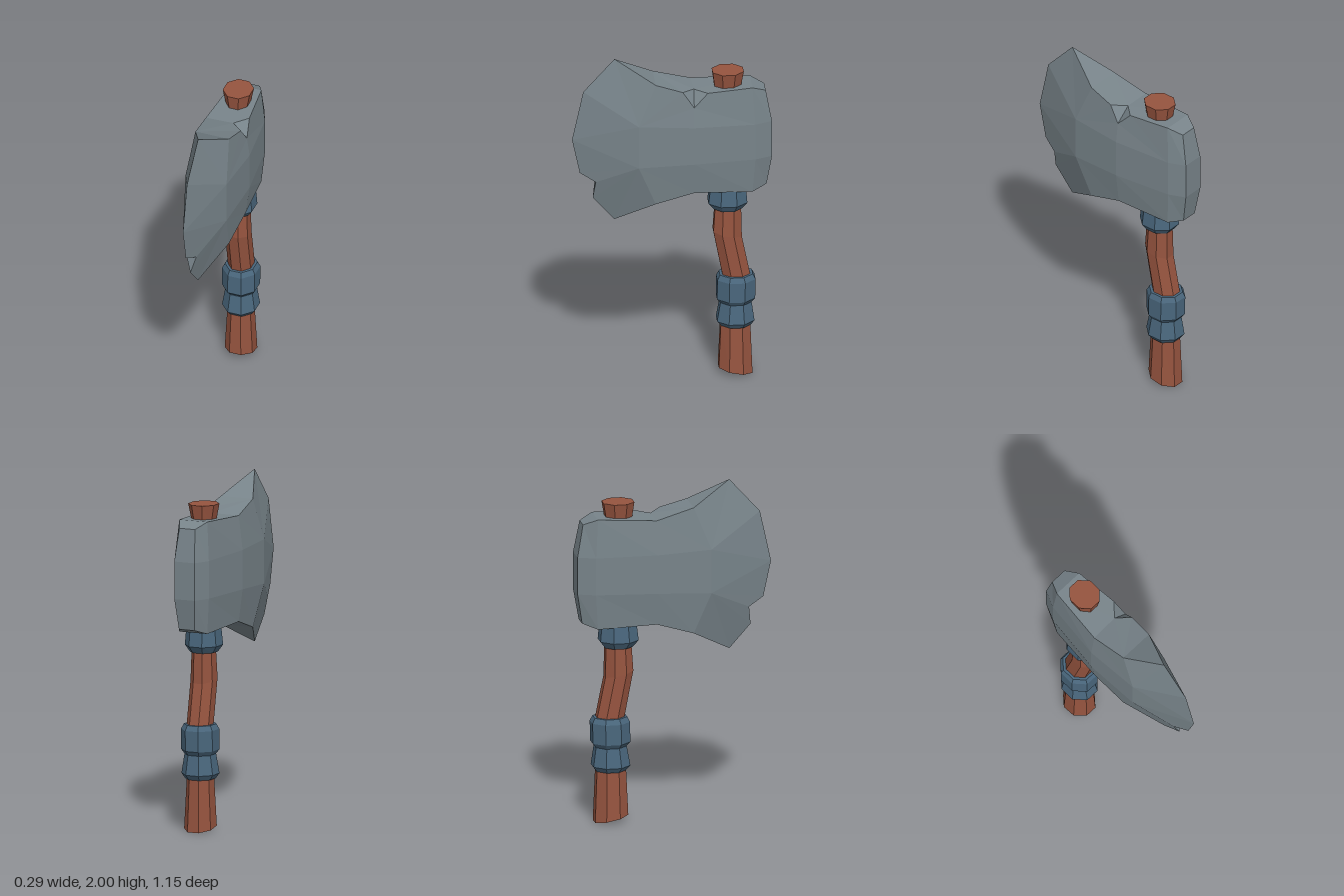
import * as THREE from 'three';

// Turns convex polygons (corners counter-clockwise from outside) into a mesh
function polyMesh(name, polys, material) {
  const pos = [];
  for (const p of polys)
    for (let i = 1; i < p.length - 1; i++) pos.push(...p[0], ...p[i], ...p[i + 1]);
  const geo = new THREE.BufferGeometry();
  geo.setAttribute('position', new THREE.Float32BufferAttribute(pos, 3));
  geo.computeVertexNormals();
  const mesh = new THREE.Mesh(geo, material);
  mesh.name = name;
  return mesh;
}

// Eight-sided column from rings, bottom to top: [y, z, halfX, halfZ, tilt]
function octColumn(name, rings, material) {
  const k = 1 / Math.cos(Math.PI / 8);
  const pts = rings.map(([y, z, hx, hz, tilt = 0]) =>
    Array.from({ length: 8 }, (_, i) => {
      const a = (i + 0.5) * Math.PI / 4;
      const dz = hz * k * Math.sin(a);
      return [hx * k * Math.cos(a), y + dz * tilt, z + dz];
    }));
  const polys = [pts[0], [...pts[pts.length - 1]].reverse()];
  for (let j = 0; j < pts.length - 1; j++)
    for (let i = 0; i < 8; i++) {
      const n = (i + 1) % 8;
      polys.push([pts[j][i], pts[j + 1][i], pts[j + 1][n], pts[j][n]]);
    }
  return polyMesh(name, polys, material);
}

const mirror = ([x, y, z]) => [-x, y, z];

function axeHead(material) {
  // Columns of the left cheek from the poll towards the blade, each bottom to top
  const cols = [
    [[0.05, 1.2, -0.545], [0.065, 1.38, -0.575], [0.065, 1.6, -0.575], [0.05, 1.79, -0.54]],
    [[0.09, 1.17, -0.46], [0.107, 1.38, -0.475], [0.107, 1.6, -0.475], [0.09, 1.825, -0.46]],
    [[0.122, 1.19, -0.12], [0.147, 1.38, -0.12], [0.147, 1.61, -0.12], [0.122, 1.81, -0.12]],
    [[0.103, 1.12, 0.1], [0.126, 1.36, 0.2], [0.126, 1.62, 0.2], [0.103, 1.87, 0.1]],
  ];
  const [A, B, C, D] = cols;
  // Cutting edge, bottom to top, with a chip between chipLow and edge[1]
  const edge = [[0, 0.99, 0.33], [0, 1.29, 0.53], [0, 1.5, 0.575], [0, 1.8, 0.51], [0, 2, 0.33]];
  const chipLow = [0, 1.13, 0.455], chipIn = [0.03, 1.24, 0.44];
  // Nick in the top edge of the left cheek
  const nickBack = [0.115, 1.813, -0.2], nickFront = [0.117, 1.825, -0.055];
  const nickIn = [0.045, 1.812, -0.125], nickLow = [0.13, 1.73, -0.12];

  const both = [];
  const polys = [];
  for (let i = 0; i < 3; i++) {
    const a = cols[i], b = cols[i + 1];
    for (let j = 0; j < 3; j++) {
      const quad = [a[j], a[j + 1], b[j + 1], b[j]];
      if (j === 2 && i > 0) polys.push([...quad].reverse().map(mirror));
      else both.push(quad);
    }
    // underside
    polys.push([b[0], mirror(b[0]), mirror(a[0]), a[0]]);
  }
  // cheeks around the nick, left side only
  polys.push([B[2], B[3], nickBack, nickLow, C[2]]);
  polys.push([D[2], C[2], nickLow, nickFront, D[3]]);
  polys.push([nickBack, nickIn, nickLow], [nickIn, nickFront, nickLow]);

  // top surface
  polys.push([A[3], mirror(A[3]), mirror(B[3]), B[3]]);
  polys.push([mirror(B[3]), mirror(C[3]), nickIn, nickBack, B[3]]);
  polys.push([mirror(D[3]), D[3], nickFront, nickIn, mirror(C[3])]);
  polys.push([D[3], mirror(D[3]), edge[4]], [mirror(D[0]), D[0], edge[0]]);

  // poll
  for (let j = 0; j < 3; j++)
    polys.push([mirror(A[j]), mirror(A[j + 1]), A[j + 1], A[j]]);

  // blade bevels
  both.push(
    [D[2], D[3], edge[4]], [D[2], edge[4], edge[3]], [D[2], edge[3], edge[2]],
    [D[1], D[2], edge[2]], [D[1], edge[2], edge[1]], [D[1], edge[1], chipIn],
    [D[1], chipIn, chipLow], [D[1], chipLow, edge[0]], [D[0], D[1], edge[0]]);
  // chip in the cutting edge
  polys.push([chipLow, chipIn, mirror(chipIn)], [edge[1], mirror(chipIn), chipIn]);

  for (const p of both) polys.push(p, [...p].reverse().map(mirror));
  return polyMesh('axeHead', polys, material);
}

export function createModel() {
  const mat = (name, color) => {
    const m = new THREE.MeshStandardMaterial({ color, flatShading: true });
    m.name = name;
    return m;
  };
  const steel = mat('steel', 0x78848a);
  const wood = mat('wood', 0x96543f);
  const cloth = mat('blueWrap', 0x4a677d);

  const group = new THREE.Group();
  group.name = 'axe';
  group.add(axeHead(steel));

  // Bent wooden handle with a flared top
  group.add(octColumn('handle', [
    [0.02, -0.368, 0.085, 0.097, 0.2],
    [0.32, -0.368, 0.07, 0.085],
    [0.61, -0.375, 0.07, 0.08],
    [0.88, -0.322, 0.07, 0.082, 0.22],
    [1.05, -0.325, 0.063, 0.075],
    [1.8, -0.323, 0.063, 0.074],
    [1.905, -0.325, 0.082, 0.09],
  ], wood));

  // Wrap under the head
  group.add(octColumn('upperWrap', [
    [1.04, -0.325, 0.075, 0.08],
    [1.08, -0.323, 0.1, 0.112],
    [1.2, -0.325, 0.09, 0.1],
  ], cloth));

  // Two stacked grip wraps
  group.add(octColumn('gripWrapTop', [
    [0.445, -0.372, 0.08, 0.085],
    [0.475, -0.37, 0.1, 0.11],
    [0.595, -0.372, 0.1, 0.11],
    [0.625, -0.372, 0.085, 0.095],
  ], cloth));
  group.add(octColumn('gripWrapBottom', [
    [0.305, -0.37, 0.08, 0.085],
    [0.335, -0.368, 0.1, 0.108],
    [0.45, -0.37, 0.083, 0.09],
  ], cloth));

  return group;
}
